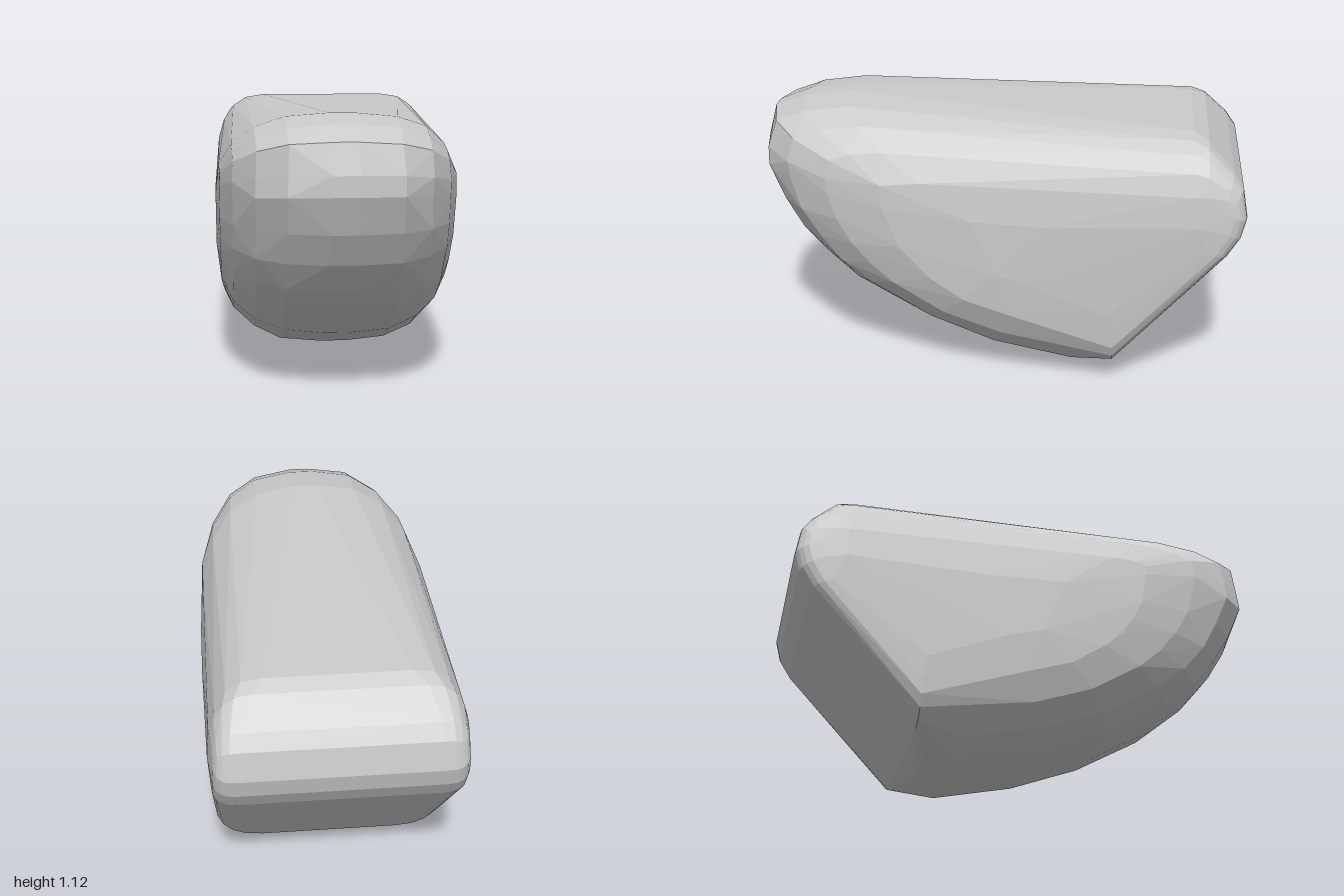
import * as THREE from 'three';
import { ConvexGeometry } from 'three/addons/geometries/ConvexGeometry.js';

// Side outline: [z, y, half-width of the flat middle, then the z, y, half-width where it meets the side panel]
const OUTLINE = [
  // rounded nose and curved belly
  [1.0, 0.93, 0.05, 0.12, 0.75, 0.49],
  [0.97, 1.05, 0.04, 0.15, 0.75, 0.49],
  [0.84, 1.1, 0.05, 0.15, 0.74, 0.49],
  [0.65, 1.125, 0.05, 0.1, 0.73, 0.495],
  [1.0, 0.85, 0.05, 0.12, 0.72, 0.49],
  [0.94, 0.7, 0.05, 0.12, 0.68, 0.49],
  [0.86, 0.57, 0.06, 0.1, 0.62, 0.49],
  [0.76, 0.45, 0.05, 0.08, 0.58, 0.49],
  [0.63, 0.345, 0.06, 0.05, 0.55, 0.49],
  [0.34, 0.18, 0.05, 0.0, 0.5, 0.495],
  [0.04, 0.07, 0.06, -0.12, 0.47, 0.495],
  [-0.3, 0.0, 0.08, -0.35, 0.42, 0.49],
  [-0.42, 0.03, 0.1, -0.46, 0.34, 0.485],
  // flat sloping back with a narrow bevel
  [-0.48, 0.075, 0.28, -0.48, 0.25, 0.475],
  [-0.93, 0.6, 0.4, -0.85, 0.63, 0.49],
  [-0.98, 0.68, 0.4, -0.9, 0.72, 0.49],
  [-1.0, 0.76, 0.4, -0.92, 0.79, 0.485],
  [-0.98, 0.88, 0.38, -0.92, 0.8, 0.48],
  [-0.94, 0.94, 0.37, -0.9, 0.8, 0.485],
  [-0.84, 1.04, 0.33, -0.84, 0.76, 0.495],
  [-0.78, 1.07, 0.28, -0.8, 0.74, 0.5],
];

function seeded(seed) {
  return () => {
    seed = (seed * 16807) % 2147483647;
    return seed / 2147483647 - 0.5;
  };
}

export function createModel() {
  const group = new THREE.Group();
  group.name = 'boulder';
  const rand = seeded(41);
  const points = [];
  const steps = 5;

  // Sweep each outline point round to the side panel, on both sides
  OUTLINE.forEach(([z, y, w, sideZ, sideY, sideW], i) => {
    const rough = i < 13 ? 0.014 : 0;
    for (const side of [-1, 1]) {
      for (let s = 0; s <= steps; s++) {
        const t = (s / steps) * Math.PI / 2;
        const out = Math.pow(Math.sin(t), 0.83);
        const up = Math.pow(Math.max(0, Math.cos(t)), 0.83);
        // uneven chipping between the two ends of the sweep
        const chip = s > 0 && s < steps ? 1 + rand() * rough : 1;
        points.push(new THREE.Vector3(
          side * (w + (sideW - w) * out) * chip,
          sideY + (y - sideY) * up * chip,
          sideZ + (z - sideZ) * up * chip
        ));
      }
    }
  });
  // Fullest points of the side panels
  for (const side of [-1, 1]) {
    points.push(new THREE.Vector3(side * 0.5, 0.72, -0.2));
  }

  const rock = new THREE.Mesh(
    new ConvexGeometry(points),
    new THREE.MeshStandardMaterial({ color: 0xcccccc, flatShading: true })
  );
  rock.name = 'rock';
  group.add(rock);
  return group;
}
